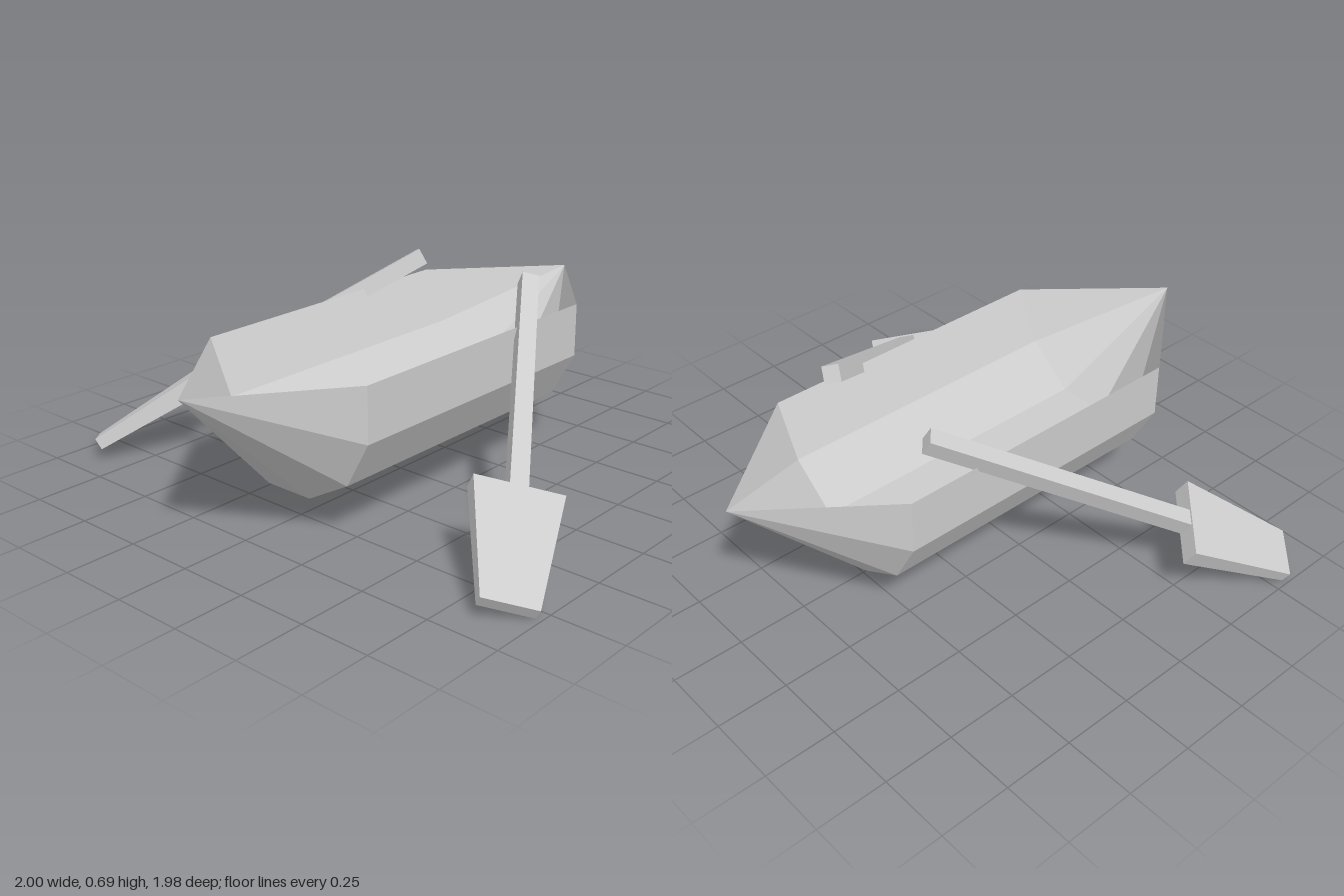
import * as THREE from 'three';

const grey = new THREE.MeshStandardMaterial({ color: 0xcccccc, flatShading: true });
grey.name = 'plain grey';

// One skin of the hull: a faceted trough with a cone of facets closing each end.
// halfSection runs from the rim down to the keel on the +x side.
function hullSkin(name, halfSection, facesInward) {
  const section = [...halfSection.map(([x, y]) => [-x, y]), ...halfSection.slice().reverse()];
  const zEnd = 0.553;
  const bow = [0, 0.545, 0.988], stern = [0, 0.545, -0.988];
  const pos = [];
  const tri = (a, b, c) => pos.push(...a, ...(facesInward ? [...c, ...b] : [...b, ...c]));
  for (let i = 0; i < section.length - 1; i++) {
    const [a, b] = [section[i], section[i + 1]];
    const aF = [...a, zEnd], bF = [...b, zEnd], aB = [...a, -zEnd], bB = [...b, -zEnd];
    tri(aF, aB, bB);
    tri(aF, bB, bF);
    tri(aF, bF, bow);
    tri(bB, aB, stern);
  }
  const geometry = new THREE.BufferGeometry();
  geometry.setAttribute('position', new THREE.Float32BufferAttribute(pos, 3));
  geometry.computeVertexNormals();
  const mesh = new THREE.Mesh(geometry, grey);
  mesh.name = name;
  return mesh;
}

// Square bar from start to end; its far end is scaled by taper
function bar(name, start, end, across, width, depth, taper) {
  const length = start.distanceTo(end);
  const geometry = new THREE.CylinderGeometry(Math.SQRT1_2 * taper, Math.SQRT1_2, length, 4);
  geometry.rotateY(Math.PI / 4).scale(width, 1, depth);
  const y = end.clone().sub(start).normalize();
  const x = across.clone().addScaledVector(y, -across.dot(y)).normalize();
  const z = x.clone().cross(y);
  const mesh = new THREE.Mesh(geometry, grey);
  mesh.name = name;
  mesh.quaternion.setFromRotationMatrix(new THREE.Matrix4().makeBasis(x, y, z));
  mesh.position.copy(start).lerp(end, 0.5);
  return mesh;
}

function oar(side) {
  const at = (x, y, z) => new THREE.Vector3(side * x, y, z);
  const handle = at(0.243, 0.655, -0.403);
  const neck = at(0.727, 0.236, 0.304);
  const tip = at(0.927, 0.041, 0.606);
  const across = at(0.7, -0.24, -0.67);
  const group = new THREE.Group();
  group.name = side > 0 ? 'leftOar' : 'rightOar';
  group.add(
    bar('oarShaft', handle, neck, across, 0.06, 0.06, 1),
    bar('oarBlade', neck, tip, across, 0.291, 0.07, 0.615)
  );
  return group;
}

export function createModel() {
  const model = new THREE.Group();
  model.name = 'rowingBoat';
  // The skins meet at the rim and at both tips; the inner floor sits higher
  const outer = [[0.35, 0.553], [0.35, 0.36], [0.26, 0.197], [0.093, 0.104]];
  const inner = [[0.35, 0.553], [0.26, 0.366], [0.093, 0.23]];
  model.add(
    hullSkin('hullOutside', outer, false),
    hullSkin('hullInside', inner, true),
    oar(1),
    oar(-1)
  );
  return model;
}
